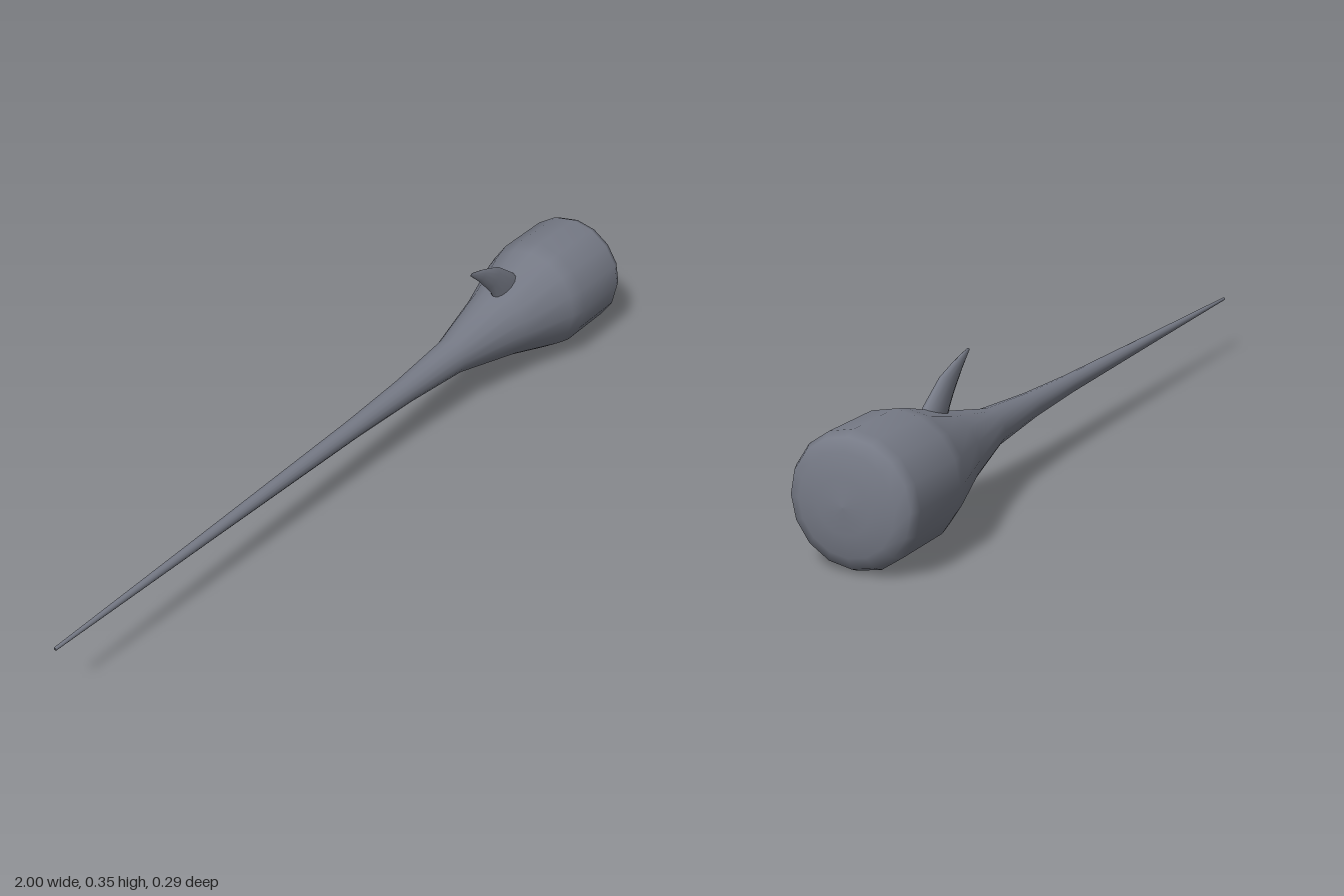
import * as THREE from 'three';

// Closed loft through elliptical sections: [left x, left y, right x, right y, half width in z]
function loft(sections, sides) {
  const pos = [], index = [];
  sections.forEach(([x0, y0, x1, y1, w], j) => {
    for (let i = 0; i < sides; i++) {
      const t = (i / sides) * Math.PI * 2, c = Math.cos(t) / 2;
      pos.push((x0 + x1) / 2 + (x1 - x0) * c, (y0 + y1) / 2 + (y1 - y0) * c, w * Math.sin(t));
      if (j === 0) continue;
      const a = (j - 1) * sides + i, b = (j - 1) * sides + (i + 1) % sides;
      index.push(a, a + sides, b, b, a + sides, b + sides);
    }
  });
  const geo = new THREE.BufferGeometry();
  geo.setAttribute('position', new THREE.Float32BufferAttribute(pos, 3));
  geo.setIndex(index);
  geo.computeVertexNormals();
  return geo;
}

export function createModel() {
  const model = new THREE.Group();
  const slate = new THREE.MeshStandardMaterial({ color: 0x767a86 });
  slate.name = 'slate grey';

  // Long tapering body, turned around the x axis: [radius, x]
  const profile = [
    [0, -1], [0.004, -1], [0.013, -0.5], [0.023, 0], [0.031, 0.2], [0.046, 0.4], [0.092, 0.6],
    [0.138, 0.75], [0.147, 0.79], [0.147, 0.95], [0.137, 0.972], [0.11, 0.986], [0.06, 0.996], [0, 1],
  ].map(([r, x]) => new THREE.Vector2(r, x));
  const body = new THREE.Mesh(new THREE.LatheGeometry(profile, 16), slate);
  body.name = 'body';
  body.rotation.z = -Math.PI / 2;
  body.position.y = 0.149;
  model.add(body);

  // Swept-back fin rising from the shoulder
  const fin = new THREE.Mesh(loft([
    [0.595, 0.21, 0.705, 0.235, 0.022],
    [0.578, 0.246, 0.668, 0.267, 0.02],
    [0.555, 0.272, 0.6, 0.316, 0.014],
    [0.515, 0.313, 0.54, 0.337, 0.008],
    [0.477, 0.346, 0.487, 0.351, 0.002],
    [0.478, 0.35, 0.478, 0.35, 0],
  ], 12), slate);
  fin.name = 'fin';
  model.add(fin);
  return model;
}
